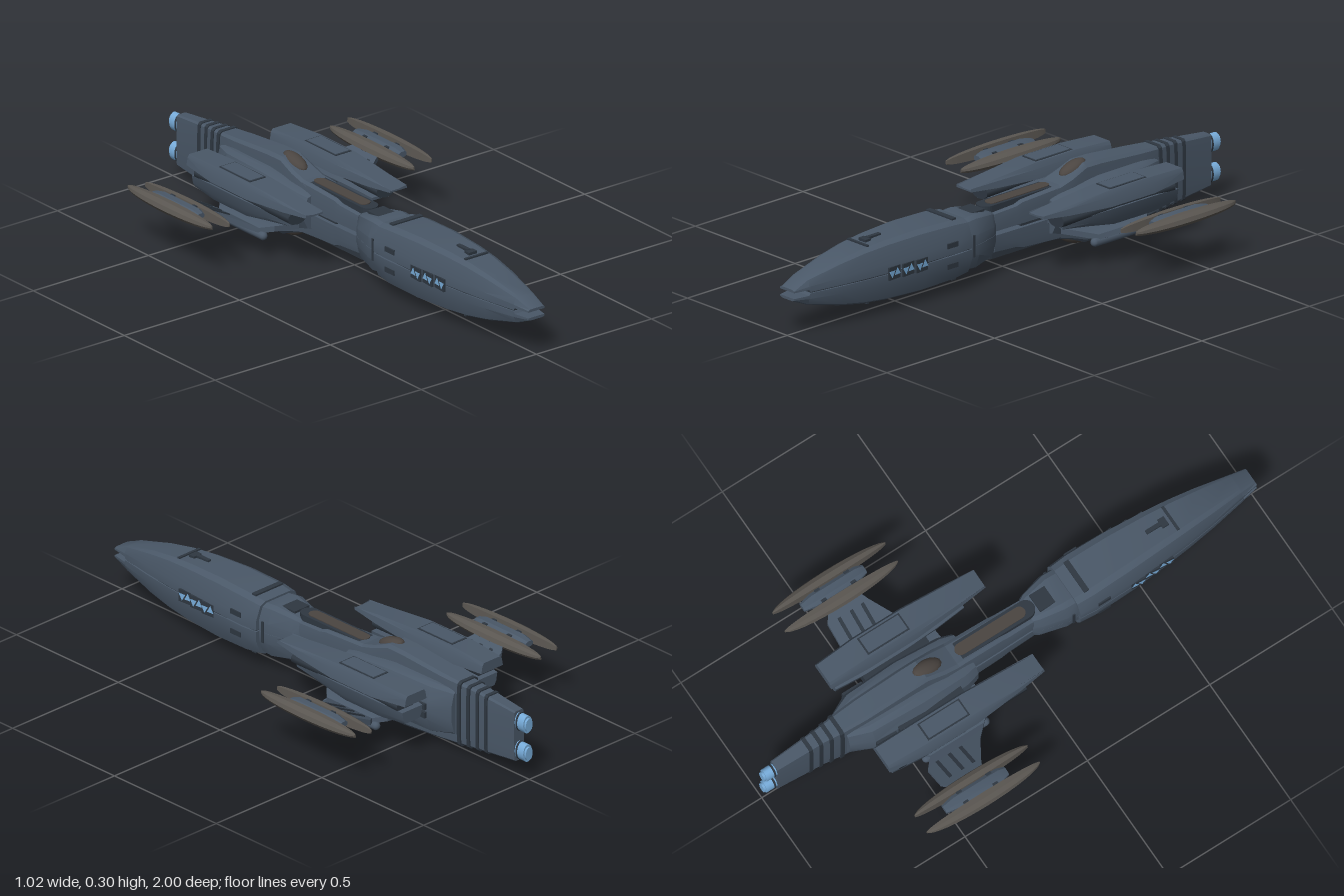
import * as THREE from 'three';
import { toCreasedNormals } from 'three/addons/utils/BufferGeometryUtils.js';

const paint = (name, color) => Object.assign(new THREE.MeshStandardMaterial({ color }), { name });
const CY = 0.1525; // height of the horizontal symmetry plane

// Skin over rings of [x, y, z]; each ring runs anticlockwise seen from the first end
function loft(rings) {
  const pos = [], n = rings[0].length;
  const tri = (a, b, c) => pos.push(...a, ...b, ...c);
  for (let r = 0; r < rings.length - 1; r++) {
    const a = rings[r], b = rings[r + 1];
    for (let i = 0; i < n; i++) {
      const j = (i + 1) % n;
      tri(a[i], b[i], b[j]);
      tri(a[i], b[j], a[j]);
    }
  }
  const first = rings[0], last = rings[rings.length - 1];
  for (let i = 1; i < n - 1; i++) {
    tri(first[0], first[i], first[i + 1]);
    tri(last[0], last[i + 1], last[i]);
  }
  const g = new THREE.BufferGeometry();
  g.setAttribute('position', new THREE.Float32BufferAttribute(pos, 3));
  return toCreasedNormals(g, 0.4);
}

// Reflected copy with the winding put right; about x = 0 or y = CY
function reflect(geo, axis) {
  const g = geo.index ? geo.toNonIndexed() : geo.clone();
  if (axis === 'x') g.scale(-1, 1, 1);
  else g.scale(1, -1, 1).translate(0, 2 * CY, 0);
  for (const key of ['position', 'normal']) {
    const a = g.attributes[key], v = new THREE.Vector3(), w = new THREE.Vector3();
    for (let i = 0; i < a.count; i += 3) {
      v.fromBufferAttribute(a, i + 1);
      w.fromBufferAttribute(a, i + 2);
      a.setXYZ(i + 1, w.x, w.y, w.z);
      a.setXYZ(i + 2, v.x, v.y, v.z);
    }
  }
  return g;
}

// Upper half hull; rows are [z, halfWidth, top, shoulder, seam, flatTopFraction]
const halfHull = rows => loft(rows.map(([z, w, t, s, b, f = 0.58]) => [
  [-w, b, z], [w, b, z], [w, s, z], [w * (f + 0.22), t - (t - s) * 0.16, z], [w * f, t, z],
  [-w * f, t, z], [-w * (f + 0.22), t - (t - s) * 0.16, z], [-w, s, z]]));

const box = (x, y, z, w, h, d) => new THREE.BoxGeometry(w, h, d).translate(x, y, z);

// Flat slab with rounded ends, lying on height y
function slot(hw, z0, z1, y, h) {
  const s = new THREE.Shape();
  s.absarc(0, -z1 - hw, hw, Math.PI, 2 * Math.PI);
  s.absarc(0, -z0 + hw, hw, 0, Math.PI);
  return new THREE.ExtrudeGeometry(s, { depth: h, bevelEnabled: false, curveSegments: 6 })
    .rotateX(-Math.PI / 2).translate(0, y, 0);
}

export function createModel() {
  const hull = paint('slate hull', 0x4a5868);
  const dark = paint('dark panel', 0x2e3741);
  const bronze = paint('bronze grey', 0x5a5651);
  const brown = paint('brown inset', 0x4b4541);
  const blue = paint('engine blue', 0x78addb);
  const model = new THREE.Group();

  // Adds a part and its reflections: 'x' sideways, 'y' below, 'xy' all four
  function add(name, geo, mat, axes = '') {
    let list = [geo];
    for (const axis of axes) list = list.concat(list.map(g => reflect(g, axis)));
    for (const g of list) {
      const m = new THREE.Mesh(g, mat);
      m.name = name;
      model.add(m);
    }
  }

  // Forward hull: two shells, split at the nose, around a dark seam
  add('forwardHull', halfHull([
    [1, 0.035, 0.173, 0.169, 0.163], [0.94, 0.046, 0.199, 0.175, 0.163],
    [0.935, 0.047, 0.201, 0.175, 0.155], [0.8, 0.07, 0.234, 0.182, 0.155],
    [0.7, 0.083, 0.251, 0.187, 0.155], [0.6, 0.093, 0.26, 0.19, 0.155],
    [0.45, 0.104, 0.265, 0.192, 0.155], [0.3, 0.108, 0.26, 0.192, 0.155],
    [0.235, 0.103, 0.252, 0.19, 0.155]]), hull, 'y');
  add('hullSeam', loft([[0.93, 0.043], [0.7, 0.079], [0.45, 0.1], [0.24, 0.099]].map(([z, w]) =>
    [[-w, 0.145, z], [w, 0.145, z], [w, 0.16, z], [-w, 0.16, z]])), dark);
  add('hullRearBand', box(0, 0.2615, 0.285, 0.13, 0.006, 0.02).rotateX(0), dark, 'y');
  add('hullCrossLine', box(0, 0.256, 0.67, 0.1, 0.006, 0.01), dark, 'y');
  add('deckTurret', box(0, 0.259, 0.64, 0.035, 0.012, 0.025), dark);
  add('deckTurret', box(0, 0.262, 0.6, 0.015, 0.01, 0.06), dark);
  add('hullPort', box(0.107, 0.19, 0.33, 0.006, 0.018, 0.05), dark, 'xy');

  // Side windows: dark bays holding blue triangular panes
  for (const [z, x] of [[0.47, 0.1035], [0.53, 0.099], [0.59, 0.0945]]) {
    const place = g => g.rotateY(-0.08 + 0.16).translate(x, CY, z);
    add('windowBay', place(new THREE.BoxGeometry(0.007, 0.046, 0.056)), dark, 'x');
    for (const k of [-1, 1]) {
      const pane = new THREE.CylinderGeometry(0.017, 0.017, 0.009, 3);
      pane.rotateZ(Math.PI / 2).rotateX(k * Math.PI / 2).translate(0, 0, k * 0.013);
      add('windowPane', place(pane), blue, 'x');
    }
  }

  // Neck block and the two bars behind it
  add('neckBlock', halfHull([
    [0.235, 0.09, 0.245, 0.19, 0.153], [0.19, 0.09, 0.25, 0.19, 0.153],
    [0.1, 0.066, 0.236, 0.185, 0.153], [0.075, 0.05, 0.225, 0.18, 0.153]]), hull, 'y');
  add('neckPanel', box(0, 0.247, 0.15, 0.07, 0.008, 0.07).translate(0, -0.003, 0), dark, 'y');
  add('neckRib', box(0, CY, 0.215, 0.186, 0.08, 0.01), dark);
  add('neckBar', halfHull([
    [0.08, 0.05, 0.225, 0.2, 0.16, 0.7], [-0.02, 0.052, 0.23, 0.205, 0.16, 0.7],
    [-0.05, 0.053, 0.24, 0.205, 0.16, 0.7], [-0.3, 0.055, 0.255, 0.21, 0.16, 0.7]]), hull, 'y');
  add('neckCore', box(0, CY, -0.18, 0.08, 0.03, 0.26), dark);
  add('slotFrame', slot(0.033, -0.18, 0.045, 0.225, 0.024), dark, 'y');
  add('slotInset', slot(0.022, -0.165, 0.03, 0.244, 0.008), brown, 'y');

  // Rear body: broad flanks, raised spine, tapering tail
  add('rearFlank', halfHull([
    [-0.17, 0.085, 0.215, 0.175, CY], [-0.22, 0.1, 0.225, 0.18, CY],
    [-0.4, 0.11, 0.245, 0.185, CY], [-0.6, 0.1, 0.245, 0.185, CY],
    [-0.68, 0.06, 0.235, 0.18, CY]]), hull, 'y');
  add('rearSpine', halfHull([
    [-0.19, 0.055, 0.24, 0.2, CY, 0.7], [-0.28, 0.056, 0.266, 0.22, CY, 0.7],
    [-0.35, 0.05, 0.295, 0.22, CY, 0.7], [-0.42, 0.05, 0.294, 0.22, CY, 0.7],
    [-0.6, 0.048, 0.279, 0.22, CY, 0.7], [-0.68, 0.042, 0.272, 0.22, CY, 0.7],
    [-0.76, 0.032, 0.266, 0.22, CY, 0.7], [-0.95, 0.023, 0.247, 0.215, CY, 0.7]]), hull, 'y');
  add('spineDome', new THREE.SphereGeometry(1, 14, 8).scale(0.03, 0.022, 0.06)
    .rotateX(0.3).translate(0, 0.277, -0.325), brown, 'y');
  for (const [z, w, t] of [[-0.69, 0.045, 0.275], [-0.73, 0.039, 0.271], [-0.77, 0.034, 0.268], [-0.81, 0.032, 0.264]])
    add('tailRib', halfHull([[z, w, t, 0.224, CY, 0.7], [z - 0.014, w, t, 0.224, CY, 0.7]]), dark, 'y');
  for (const z of [-0.3, -0.43, -0.56])
    add('flankPanel', box(0.105, 0.168, z, 0.012, 0.022, 0.08), dark, 'xy');

  // Tail engines
  const engine = (r, z0, z1) => new THREE.CylinderGeometry(r, r, z0 - z1, 16)
    .rotateX(Math.PI / 2).scale(0.65, 1, 1).translate(0, 0.207, (z0 + z1) / 2);
  add('engineGlow', engine(0.033, -0.93, -0.992), blue, 'y');
  add('engineTip', engine(0.025, -0.99, -1), blue, 'y');
  add('engineRing', engine(0.035, -0.955, -0.962), dark, 'y');

  // Side pods: upper shell, barrel, lower shell; rows are [z, xIn, xOut, bottom, top, bevel]
  const pod = rows => loft(rows.map(([z, a, b, lo, hi, e]) => [
    [a, lo, z], [b, lo, z], [b - e * 0.4, (lo + hi) / 2 + 0.008, z], [b - e, hi, z],
    [a + e, hi, z], [a + e * 0.4, (lo + hi) / 2 + 0.008, z]]));
  add('podUpperShell', pod([
    [0.01, 0.145, 0.22, 0.232, 0.238, 0.004], [-0.1, 0.136, 0.232, 0.222, 0.252, 0.012],
    [-0.28, 0.125, 0.246, 0.212, 0.266, 0.018], [-0.48, 0.125, 0.246, 0.212, 0.267, 0.018],
    [-0.63, 0.13, 0.232, 0.222, 0.26, 0.012]]), hull, 'x');
  add('podTopPanel', box(0.186, 0.2655, -0.38, 0.07, 0.006, 0.17), dark, 'x');
  add('podTopPlate', box(0.186, 0.2675, -0.38, 0.06, 0.006, 0.158), hull, 'x');
  add('podBarrel', new THREE.CylinderGeometry(0.042, 0.042, 0.52, 10).rotateX(Math.PI / 2)
    .scale(1, 0.62, 1).translate(0.192, 0.203, -0.33), dark, 'x');
  add('podLowerShell', reflect(pod([
    [-0.08, 0.14, 0.215, 0.12, 0.13, 0.004], [-0.2, 0.125, 0.232, 0.108, 0.15, 0.014],
    [-0.32, 0.118, 0.24, 0.105, 0.172, 0.024], [-0.5, 0.118, 0.24, 0.105, 0.172, 0.024],
    [-0.61, 0.13, 0.225, 0.115, 0.16, 0.014]]), 'y'), hull, 'x');
  add('podStrut', box(0.115, 0.175, -0.38, 0.08, 0.04, 0.26), dark, 'x');

  // Cranked wings; rows are [x, y, zFront, zBack]
  const wing = (rows, h) => loft(rows.map(([x, y, f, b]) =>
    [[x, y - h, f], [x, y - h, b], [x, y + h, b], [x, y + h, f]]));
  add('wing', wing([
    [0.4, 0.193, -0.36, -0.46], [0.35, 0.169, -0.335, -0.5], [0.27, 0.13, -0.285, -0.5],
    [0.225, 0.107, -0.24, -0.46], [0.19, 0.117, -0.2, -0.5], [0.09, 0.105, -0.19, -0.5]], 0.01), hull, 'x');
  for (const z of [-0.355, -0.4, -0.45])
    add('wingRib', wing([[0.345, 0.1685, z, z - 0.012], [0.26, 0.126, z, z - 0.012]], 0.014), dark, 'x');
  add('wingHinge', new THREE.CapsuleGeometry(0.016, 0.24, 4, 10).rotateX(Math.PI / 2)
    .translate(0.216, 0.089, -0.35), hull, 'x');

  // Wingtip nacelles: a core between two D-shaped blades
  const bladeRings = [];
  for (let i = 0; i <= 16; i++) {
    const t = Math.cos(i * Math.PI / 16), k = Math.max(0.12, Math.sin(i * Math.PI / 16));
    bladeRings.push([[0, -0.019], [0.02, -0.022], [0.037, -0.014], [0.045, 0],
      [0.037, 0.014], [0.02, 0.022], [0, 0.019]].map(([x, y]) =>
      [x * k + 0.012 * (1 - k), y * (0.25 + 0.75 * k), 0.23 * t]));
  }
  const blade = loft(bladeRings);
  add('outerBlade', blade.clone().rotateZ(-0.12).translate(0.464, 0.204, -0.41), bronze, 'x');
  add('innerBlade', reflect(blade, 'x').rotateZ(0.12).translate(0.414, 0.194, -0.41), bronze, 'x');
  add('nacelleCore', loft([[-0.29, 0.016, 0.01], [-0.32, 0.025, 0.018], [-0.5, 0.025, 0.018], [-0.545, 0.016, 0.01]]
    .map(([z, w, h]) => [[-w, -h / 2], [-w / 2, -h], [w / 2, -h], [w, -h / 2], [w, h / 2], [w / 2, h], [-w / 2, h], [-w, h / 2]]
      .map(([x, y]) => [0.439 + x, 0.199 + y, z]))), hull, 'x');
  add('nacelleBand', box(0.439, 0.199, -0.35, 0.052, 0.03, 0.02), dark, 'x');
  add('nacelleBand', box(0.439, 0.199, -0.47, 0.052, 0.03, 0.02), dark, 'x');

  return model;
}
